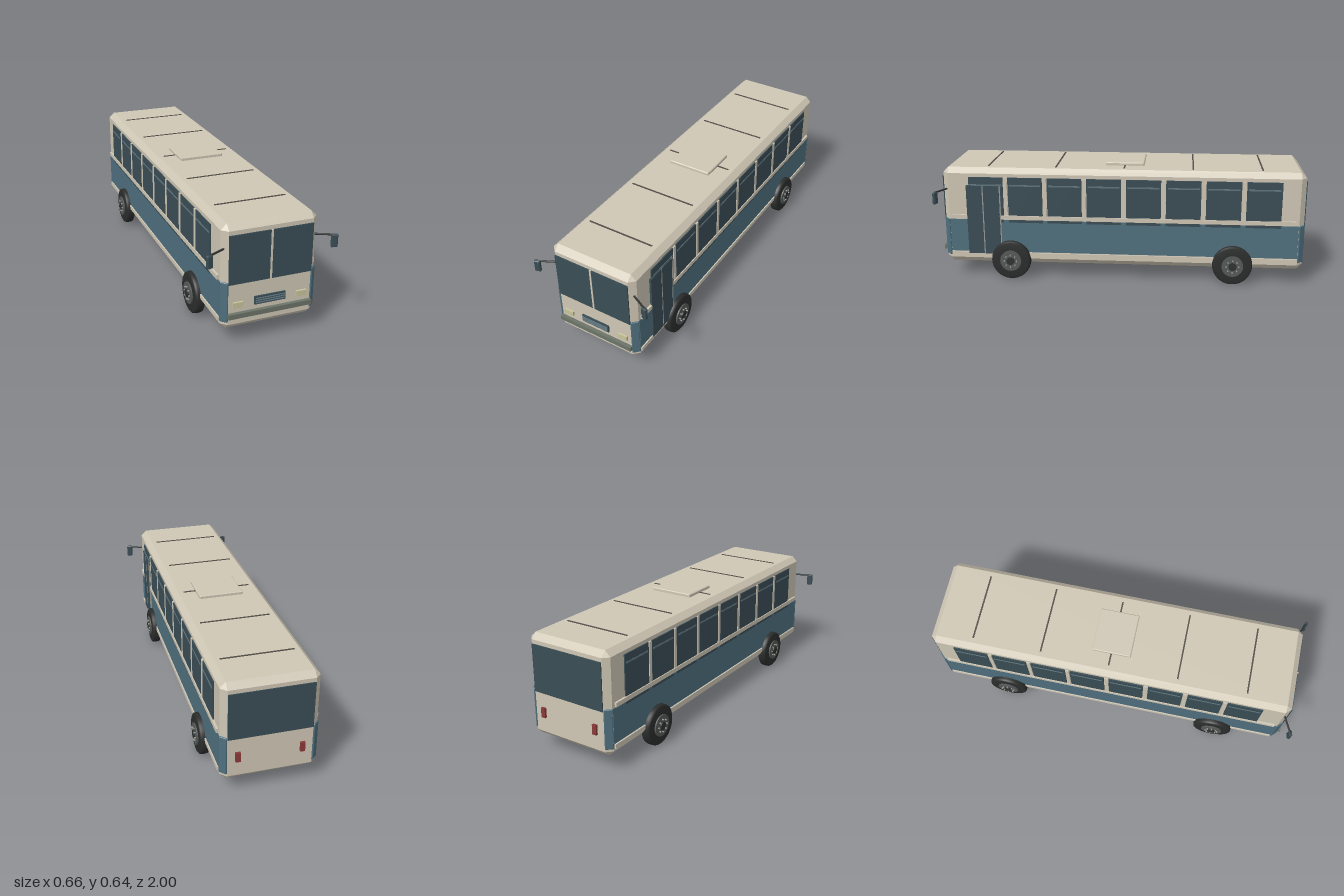
import * as THREE from 'three';
import { ConvexGeometry } from 'three/addons/geometries/ConvexGeometry.js';

const mat = (color, flatShading = false) => new THREE.MeshStandardMaterial({ color, flatShading });
const cream = mat(0xcfc7b5, true), blue = mat(0x4f6f7e), glass = mat(0x3a4d55), seam = mat(0x55504a);
const tyreMat = mat(0x2b2d2c), rimMat = mat(0x555a58), darkMat = mat(0x2e3231), steel = mat(0x9a9a94);
const lampMat = mat(0xc9c59c), redMat = mat(0x8a3a38), bumperMat = mat(0x6c7468), barMat = mat(0x5f747c);

function add(parent, name, geometry, material, x = 0, y = 0, z = 0) {
  const mesh = new THREE.Mesh(geometry, material);
  mesh.name = name;
  mesh.position.set(x, y, z);
  parent.add(mesh);
  return mesh;
}

// Box given by its extents along each axis
function span(parent, name, material, [x0, x1], [y0, y1], [z0, z1]) {
  return add(parent, name, new THREE.BoxGeometry(Math.abs(x1 - x0), y1 - y0, Math.abs(z1 - z0)), material,
    (x0 + x1) / 2, (y0 + y1) / 2, (z0 + z1) / 2);
}

// Box with every edge cut at 45 degrees
function chamferBox(w, h, d, c) {
  const points = [];
  for (const sx of [-1, 1]) for (const sy of [-1, 1]) for (const sz of [-1, 1]) {
    const x = w / 2, y = h / 2, z = d / 2;
    points.push(
      new THREE.Vector3(sx * x, sy * (y - c), sz * (z - c)),
      new THREE.Vector3(sx * (x - c), sy * y, sz * (z - c)),
      new THREE.Vector3(sx * (x - c), sy * (y - c), sz * z));
  }
  return new ConvexGeometry(points);
}

// Wheel whose outer face points along +x
function makeWheel() {
  const wheel = new THREE.Group();
  wheel.name = 'wheel';
  const profile = [[0, -0.025], [0.098, -0.025], [0.106, -0.019], [0.108, -0.01], [0.108, 0.01],
    [0.106, 0.019], [0.098, 0.025], [0.056, 0.025], [0, 0.025]];
  const tyre = add(wheel, 'tyre', new THREE.LatheGeometry(profile.map(p => new THREE.Vector2(...p)), 40), tyreMat);
  const rim = add(wheel, 'rim', new THREE.CylinderGeometry(0.058, 0.058, 0.03, 32), rimMat, 0.0175);
  const hub = add(wheel, 'hub', new THREE.CylinderGeometry(0.021, 0.023, 0.03, 24), darkMat, 0.025);
  for (const part of [tyre, rim, hub]) part.rotation.z = -Math.PI / 2;
  for (let i = 0; i < 8; i++) {
    const a = i * Math.PI / 4;
    const nut = add(wheel, 'wheelNut', new THREE.CylinderGeometry(0.004, 0.004, 0.012, 6), steel,
      0.035, 0.034 * Math.cos(a), 0.034 * Math.sin(a));
    nut.rotation.z = -Math.PI / 2;
  }
  return wheel;
}

// Windows, panels and rails of one side, built for +x
function makeSide() {
  const side = new THREE.Group();
  side.name = 'side';
  span(side, 'skirtPanel', blue, [0.23, 0.244], [0.15, 0.333], [-0.957, 0.933]);
  span(side, 'beltRail', cream, [0.23, 0.252], [0.337, 0.36], [-0.94, 0.92]);
  span(side, 'sillRail', cream, [0.23, 0.249], [0.124, 0.147], [-0.95, 0.93]);
  for (let i = 0; i < 8; i++) {
    const z = 0.727 - i * 0.2137;
    span(side, 'sideWindow', glass, [0.23, 0.247], [0.32, 0.572], [z - 0.0935, z + 0.0935]);
    span(side, 'windowBar', barMat, [0.24, 0.2495], [0.525, 0.533], [z - 0.085, z + 0.085]);
    if (i < 7) span(side, 'windowPillar', cream, [0.23, 0.2485], [0.335, 0.572], [z - 0.1165, z - 0.0972]);
  }
  return side;
}

export function createModel() {
  const bus = new THREE.Group();
  bus.name = 'bus';
  const front = 0.964, back = -0.988;

  // Shell
  add(bus, 'body', chamferBox(0.482, 0.537, front - back, 0.029), cream, 0, 0.3515, (front + back) / 2);

  // Roof hatch and seams
  add(bus, 'roofHatch', chamferBox(0.24, 0.022, 0.21, 0.004), cream, 0, 0.626, -0.02);
  for (let i = 0; i < 5; i++) {
    const z = 0.72 - i * 0.37;
    span(bus, 'roofSeam', seam, [-0.185, 0.185], [0.615, 0.623], [z - 0.004, z + 0.004]);
  }

  for (const s of [1, -1]) {
    const side = makeSide();
    side.rotation.y = 0;
    if (s < 0) for (const part of side.children) part.position.x *= -1;
    bus.add(side);

    // Corner guards across the vertical chamfers
    for (const [z, e] of [[front, 1], [back, -1]]) {
      const guard = add(bus, 'cornerGuard', chamferBox(0.042, 0.207, 0.014, 0.003), blue,
        s * 0.2265, 0.23, z - e * 0.0145);
      guard.rotation.y = Math.atan2(s, e);
    }

    // Wheels
    for (const z of [0.6, -0.612]) {
      const wheel = makeWheel();
      wheel.position.set(s * 0.245, 0.108, z);
      if (s < 0) wheel.rotation.y = Math.PI;
      bus.add(wheel);
    }

    // Lamps
    span(bus, 'headlight', lampMat, [s * 0.138, s * 0.19], [0.199, 0.228], [0.95, 0.974]);
    span(bus, 'tailLight', redMat, [s * 0.148, s * 0.172], [0.194, 0.246], [-1, -0.98]);

    // Mirrors
    const arm = new THREE.LineCurve3(new THREE.Vector3(s * 0.225, 0.501, 0.942), new THREE.Vector3(s * 0.318, 0.501, 0.988));
    add(bus, 'mirrorArm', new THREE.TubeGeometry(arm, 1, 0.005, 10), darkMat);
    const mirror = add(bus, 'mirror', chamferBox(0.032, 0.066, 0.018, 0.004), glass, s * 0.315, 0.471, 0.987);
    mirror.rotation.y = -s * 0.25;

    // Windscreen halves
    span(bus, 'windscreen', glass, [s * 0.004, s * 0.212], [0.322, 0.57], [0.95, 0.97]);
  }
  span(bus, 'windscreenDivider', cream, [-0.005, 0.005], [0.322, 0.57], [0.95, 0.972]);
  span(bus, 'rearWindow', glass, [-0.21, 0.21], [0.322, 0.57], [-0.993, -0.97]);

  // Grille and bumper
  span(bus, 'grille', glass, [-0.08, 0.08], [0.199, 0.241], [0.95, 0.972]);
  for (let i = 0; i < 3; i++) {
    const y = 0.209 + i * 0.011;
    span(bus, 'grilleSlat', barMat, [-0.075, 0.075], [y - 0.002, y + 0.002], [0.96, 0.977]);
  }
  span(bus, 'frontBumper', bumperMat, [-0.215, 0.215], [0.148, 0.173], [0.95, 0.983]);

  // Folding door on the left side
  for (const z of [0.791, 0.699]) {
    span(bus, 'doorLeaf', glass, [0.23, 0.2525], [0.14, 0.525], [z - 0.044, z + 0.044]);
  }
  for (const z of [0.745, 0.651]) span(bus, 'doorTrim', steel, [0.23, 0.2535], [0.14, 0.525], [z - 0.003, z + 0.003]);
  return bus;
}
